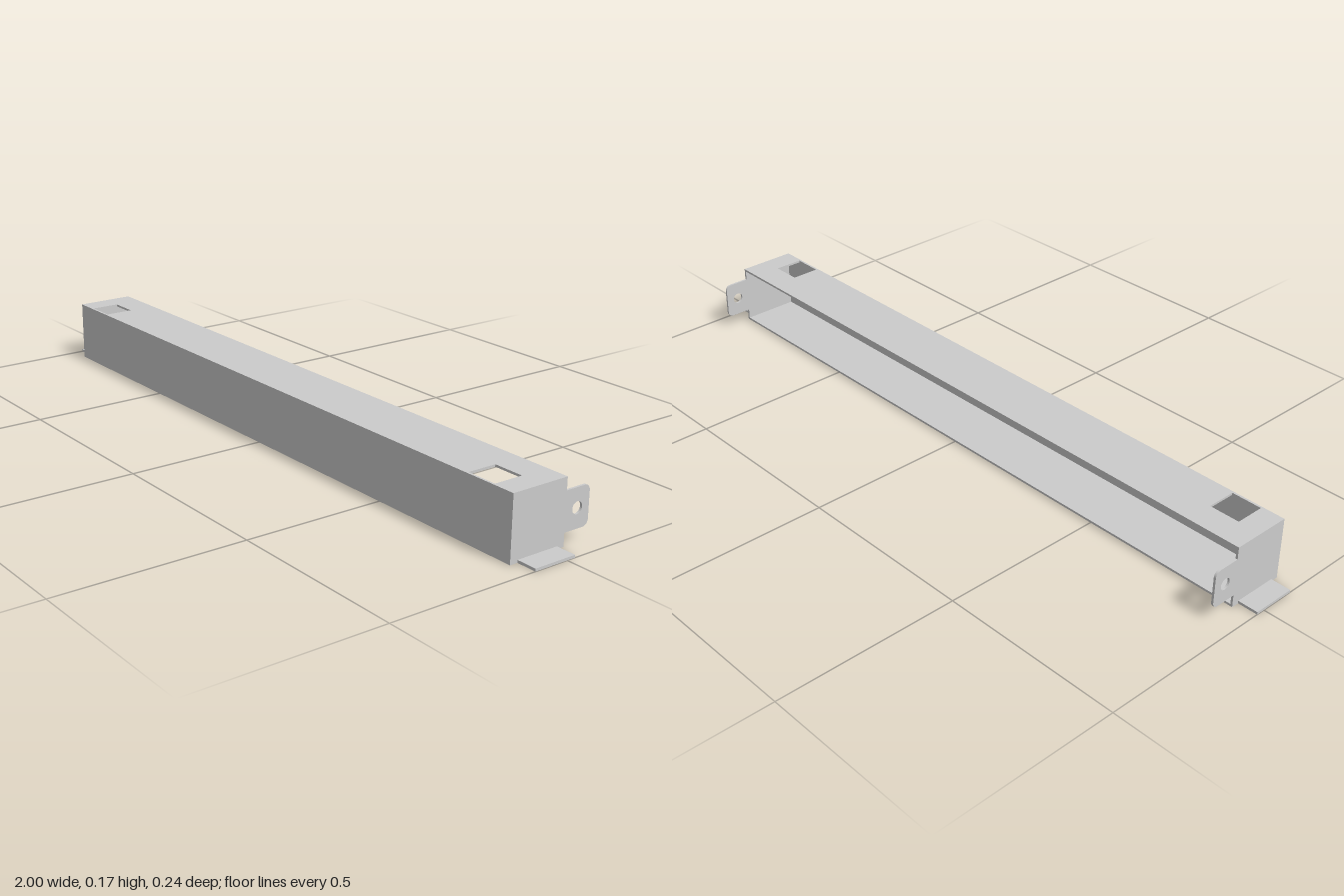
import * as THREE from 'three';

const T = 0.006;                       // sheet thickness
const X = 0.945, H = 0.168;            // half length and height of the channel
const FRONT = 0.118, BACK = -0.045;    // depth limits of the channel
const material = new THREE.MeshStandardMaterial({ color: 0xcccccc, flatShading: true });

function rectPath(x0, y0, x1, y1, Path = THREE.Path) {
  return new Path([[x0, y0], [x1, y0], [x1, y1], [x0, y1]].map(p => new THREE.Vector2(...p)));
}

function sheet(shape) {
  return new THREE.ExtrudeGeometry(shape, { depth: T, bevelEnabled: false, curveSegments: 12 });
}

function box(name, x0, x1, y0, y1, z0, z1) {
  const mesh = new THREE.Mesh(new THREE.BoxGeometry(x1 - x0, y1 - y0, z1 - z0), material);
  mesh.position.set((x0 + x1) / 2, (y0 + y1) / 2, (z0 + z1) / 2);
  mesh.name = name;
  return mesh;
}

// Top flange with a rectangular window near each end (shape y = -z)
function topFlange() {
  const shape = rectPath(-X + T, -FRONT, X - T, -BACK, THREE.Shape);
  for (const s of [-1, 1]) {
    shape.holes.push(rectPath(s * 0.84 - 0.042, -FRONT + T, s * 0.84 + 0.042, -0.032));
  }
  const mesh = new THREE.Mesh(sheet(shape).rotateX(-Math.PI / 2), material);
  mesh.position.y = H - T;
  mesh.name = 'topFlange';
  return mesh;
}

// End plate with a rounded, drilled ear reaching backwards (shape x = -z)
function endPlate(side) {
  const ear = 0.118, y0 = 0.034, y1 = 0.135, r = 0.016;
  const shape = new THREE.Shape();
  shape.moveTo(-FRONT, 0);
  shape.lineTo(-BACK, 0);
  shape.lineTo(-BACK, y0);
  shape.lineTo(ear - r, y0);
  shape.absarc(ear - r, y0 + r, r, -Math.PI / 2, 0, false);
  shape.absarc(ear - r, y1 - r, r, 0, Math.PI / 2, false);
  shape.lineTo(-BACK, y1);
  shape.lineTo(-BACK, H);
  shape.lineTo(-FRONT, H);
  shape.closePath();
  shape.holes.push(new THREE.Path().absarc(0.081, 0.085, 0.0155, 0, Math.PI * 2, true));
  const mesh = new THREE.Mesh(sheet(shape).rotateY(Math.PI / 2), material);
  mesh.position.x = side > 0 ? X - T : -X;
  mesh.name = side > 0 ? 'leftEndPlate' : 'rightEndPlate';
  return mesh;
}

export function createModel() {
  const group = new THREE.Group();
  group.name = 'channelBracket';
  group.add(
    box('frontWall', -X + T, X - T, T, H - T, FRONT - T, FRONT),
    box('bottomFlange', -X + T, X - T, 0, T, BACK, FRONT),
    topFlange()
  );
  for (const s of [-1, 1]) {
    group.add(endPlate(s));
    // Flat mounting tab at floor level
    const [a, b] = s > 0 ? [X, 1] : [-1, -X];
    group.add(box(s > 0 ? 'leftTab' : 'rightTab', a, b, 0, T + 0.001, -0.024, 0.096));
  }
  return group;
}
